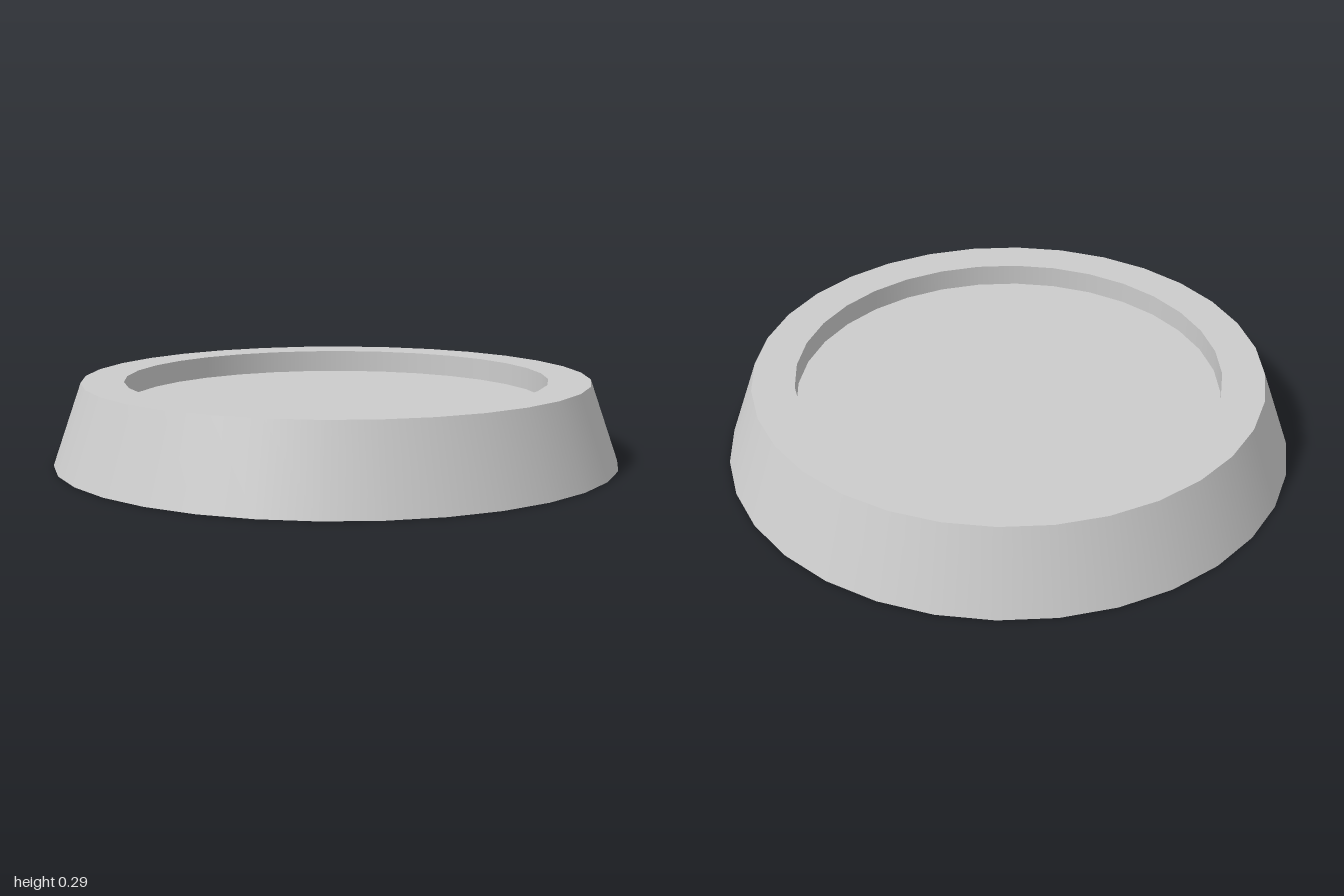
import * as THREE from 'three';

const SEGMENTS = 32;
const HEIGHT = 0.29;
const FLOOR = 0.21;
const BASE_R = 1;
const TOP_R = 0.9;
const RECESS_R = 0.75;

export function createModel() {
  const model = new THREE.Group();
  model.name = 'roundBase';

  // Thin shell, open underneath
  const material = new THREE.MeshStandardMaterial({ color: 0xcccccc, side: THREE.DoubleSide });

  // One smooth band per part keeps the edges between parts sharp
  const addBand = (name, r1, y1, r2, y2) => {
    const profile = [new THREE.Vector2(r1, y1), new THREE.Vector2(r2, y2)];
    const mesh = new THREE.Mesh(new THREE.LatheGeometry(profile, SEGMENTS), material);
    mesh.name = name;
    model.add(mesh);
  };

  addBand('slopedSkirt', BASE_R, 0, TOP_R, HEIGHT);
  addBand('topRim', TOP_R, HEIGHT, RECESS_R, HEIGHT);
  addBand('recessWall', RECESS_R, HEIGHT, RECESS_R, FLOOR);

  // Flat floor of the recess
  const floor = new THREE.Mesh(new THREE.CircleGeometry(RECESS_R, SEGMENTS), material);
  floor.name = 'recessFloor';
  floor.rotation.x = -Math.PI / 2;
  floor.position.y = FLOOR;
  model.add(floor);

  return model;
}
